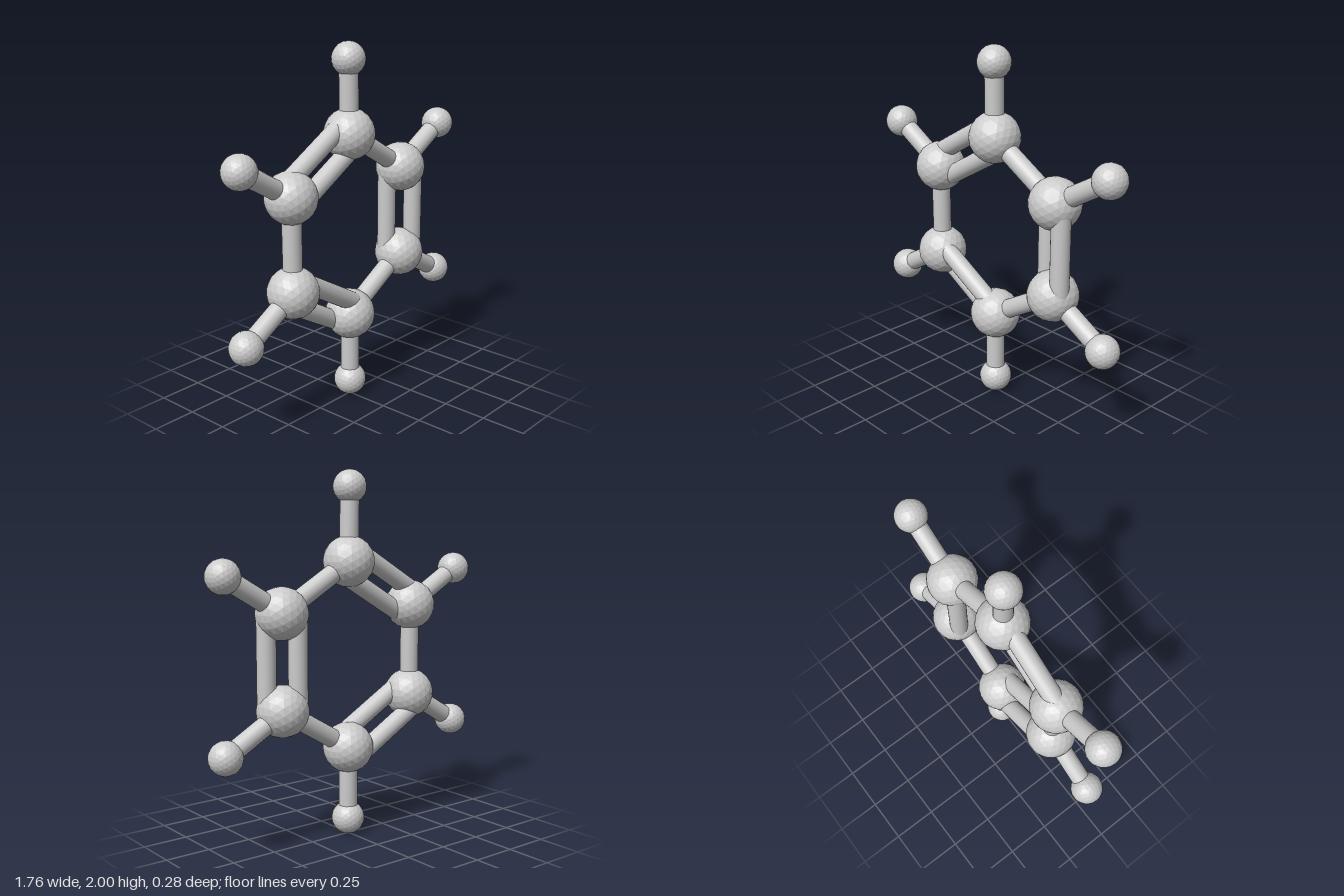
import * as THREE from 'three';

const V = (x, y, z = 0) => new THREE.Vector3(x, y, z);

export function createModel() {
  const model = new THREE.Group();
  const ballMat = new THREE.MeshStandardMaterial({ color: 0xcccccc, flatShading: true });
  const rodMat = new THREE.MeshStandardMaterial({ color: 0xcccccc });

  // Ring and outer ball centres, clockwise from the top
  const ring = [V(-0.003, 1.515), V(0.437, 1.26), V(0.437, 0.75), V(0.002, 0.493), V(-0.445, 0.747), V(-0.448, 1.257)];
  const outer = [V(-0.009, 1.911), V(0.783, 1.462), V(0.786, 0.555), V(0.003, 0.092), V(-0.784, 0.547), V(-0.79, 1.453)];

  const bigBall = new THREE.IcosahedronGeometry(0.14, 3);
  const smallBall = new THREE.IcosahedronGeometry(0.091, 3);

  function ball(name, geometry, position) {
    const mesh = new THREE.Mesh(geometry, ballMat);
    mesh.name = name;
    mesh.position.copy(position);
    model.add(mesh);
  }

  // Straight rod between two points
  function rod(name, a, b) {
    const dir = b.clone().sub(a);
    const mesh = new THREE.Mesh(new THREE.CylinderGeometry(0.052, 0.052, dir.length(), 24), rodMat);
    mesh.name = name;
    mesh.position.copy(a).add(b).multiplyScalar(0.5);
    mesh.quaternion.setFromUnitVectors(V(0, 1), dir.normalize());
    model.add(mesh);
  }

  // Balls with the single rods pointing outwards
  ring.forEach((p, i) => {
    ball('ringBall', bigBall, p);
    ball('outerBall', smallBall, outer[i]);
    rod('outerRod', p, outer[i]);
  });

  // Ring rods: single and double alternate; each pair is twisted slightly
  // out of plane. Values are [outward, forward] offsets of the outer rod.
  const pairs = { 1: [0.075, 0.035], 3: [0.065, -0.037], 5: [0.075, -0.006] };
  ring.forEach((a, i) => {
    const b = ring[(i + 1) % 6];
    if (!pairs[i]) {
      rod('singleRingRod', a, b);
      return;
    }
    const [out, forward] = pairs[i];
    const d = b.clone().sub(a).normalize();
    const offset = V(-d.y * out, d.x * out, forward);
    for (const side of [1, -1]) {
      const shift = offset.clone().multiplyScalar(side);
      rod(side > 0 ? 'doubleRodOuter' : 'doubleRodInner', a.clone().add(shift), b.clone().add(shift));
    }
  });

  return model;
}
